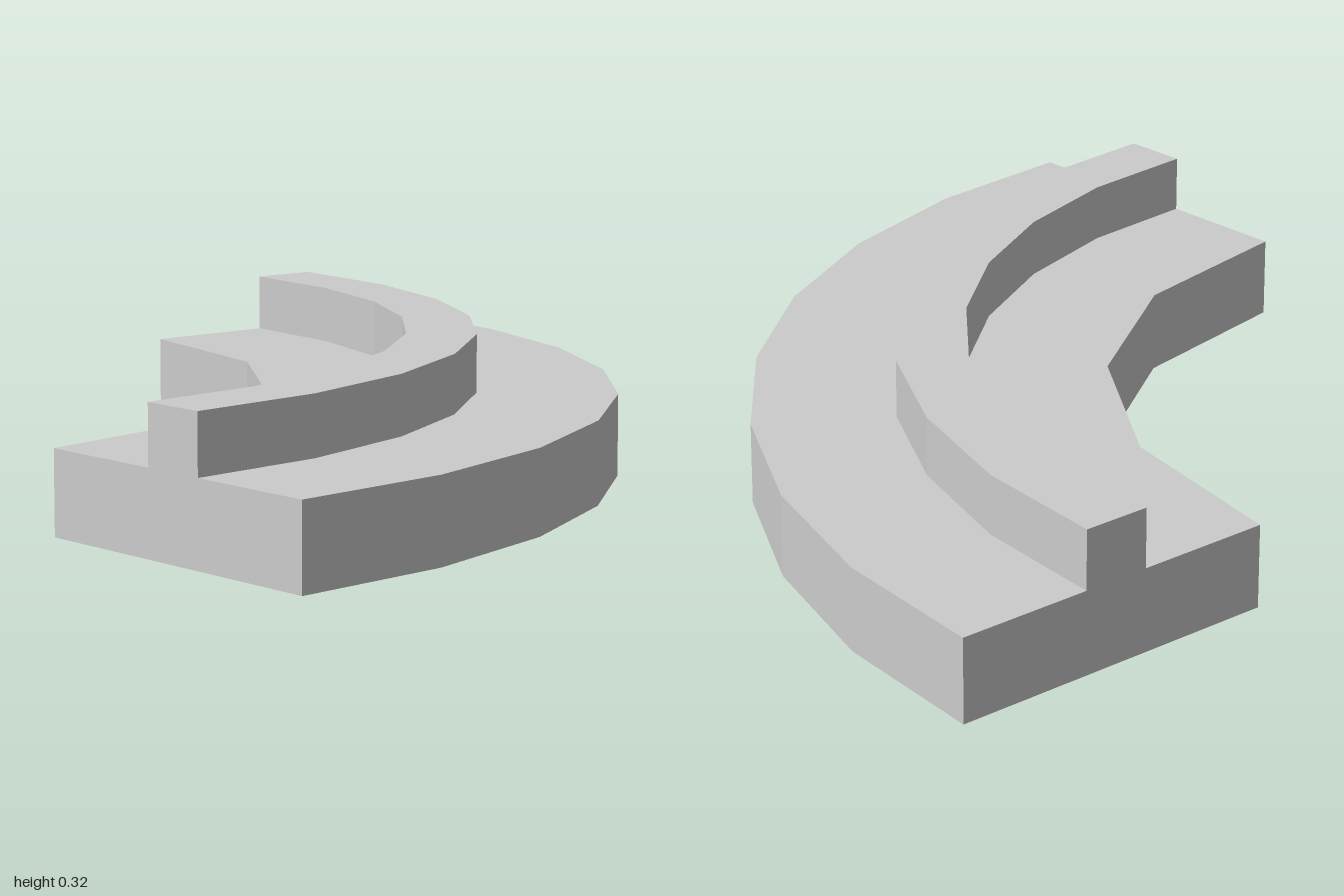
import * as THREE from 'three';

const grey = new THREE.MeshStandardMaterial({ color: 0xcccccc });
grey.name = 'light grey';

// Points on a quarter arc centred on the back-left corner of the bend
function arc(radius, segments) {
  return Array.from({ length: segments + 1 }, (_, i) => {
    const a = (i / segments) * Math.PI / 2;
    return new THREE.Vector2(-1 + radius * Math.cos(a), -1 + radius * Math.sin(a));
  });
}

// Faceted quarter ring standing between two heights
function quarterRing(name, outer, outerSegments, inner, innerSegments, bottom, top) {
  const shape = new THREE.Shape([
    ...arc(outer, outerSegments),
    ...arc(inner, innerSegments).reverse(),
  ]);
  const geometry = new THREE.ExtrudeGeometry(shape, { depth: top - bottom, bevelEnabled: false });
  geometry.rotateX(-Math.PI / 2).translate(0, bottom, 0);
  const mesh = new THREE.Mesh(geometry, grey);
  mesh.name = name;
  return mesh;
}

export function createModel() {
  const model = new THREE.Group();
  model.name = 'curvedTrack';
  // Wide bed, with a coarser inner edge
  model.add(quarterRing('trackBed', 2, 8, 1.2, 4, 0, 0.187));
  // Narrow rail along the middle of the bed
  model.add(quarterRing('centreRail', 1.68, 8, 1.52, 8, 0.187, 0.32));
  return model;
}
